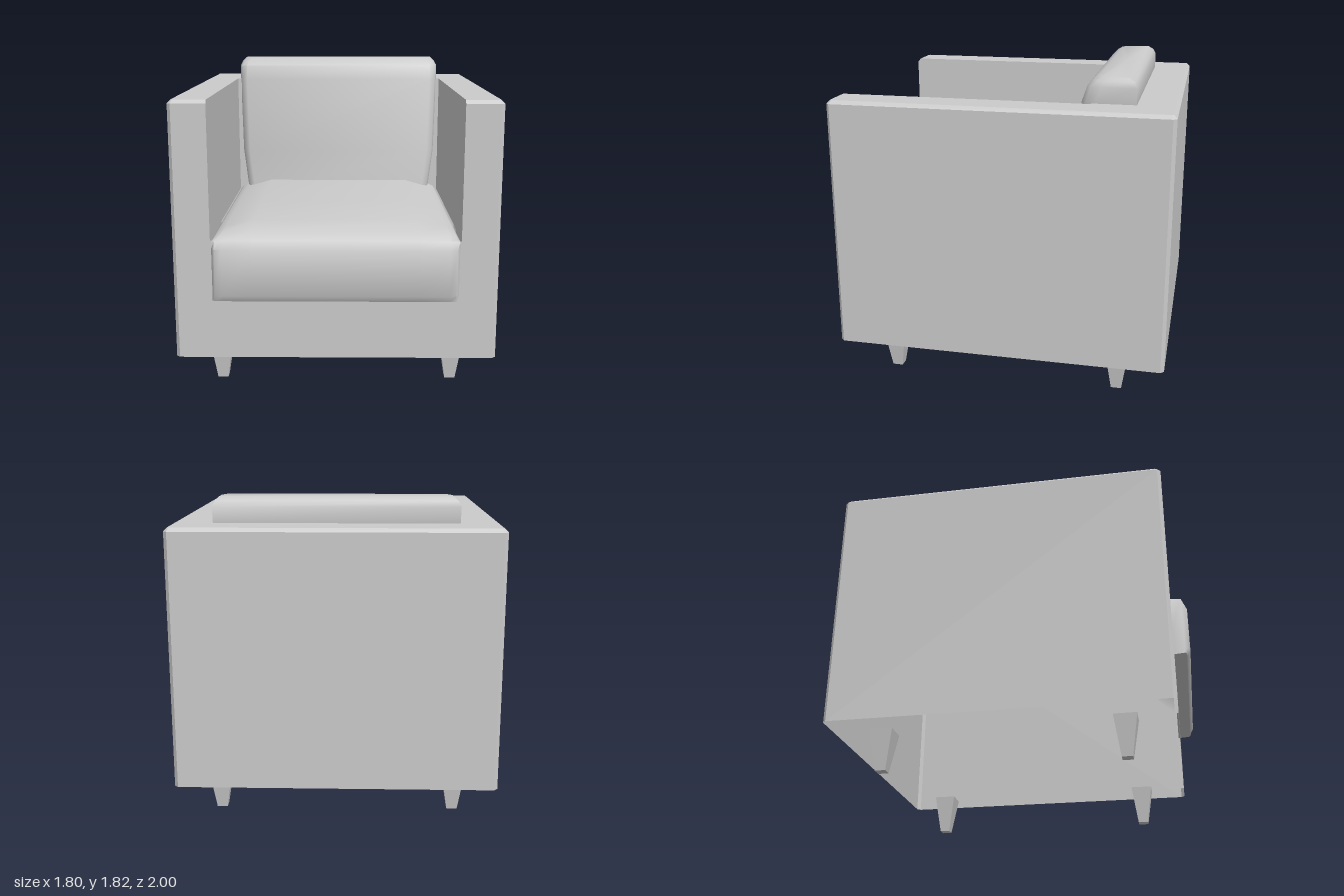
import * as THREE from 'three';
import { toCreasedNormals } from 'three/addons/utils/BufferGeometryUtils.js';

const material = new THREE.MeshStandardMaterial({ color: 0xcccccc, side: THREE.DoubleSide });

function add(group, name, geometry) {
  const mesh = new THREE.Mesh(geometry, material);
  mesh.name = name;
  group.add(mesh);
  return mesh;
}

// Skin over rows of [x, y, z] points; crease is the angle kept sharp
function skin(rows, crease, closed = false) {
  const n = rows[0].length;
  const index = [];
  for (let i = 0; i < rows.length - 1; i++) {
    for (let j = 0; j < (closed ? n : n - 1); j++) {
      const a = i * n + j, b = i * n + (j + 1) % n;
      index.push(a, b, b + n, a, b + n, a + n);
    }
  }
  const geometry = new THREE.BufferGeometry();
  geometry.setAttribute('position', new THREE.Float32BufferAttribute(rows.flat(2), 3));
  geometry.setIndex(index);
  return toCreasedNormals(geometry, crease);
}

// Half an outline in [x, z], mirrored to the other side at height y
function outline(half, y) {
  const left = half.map(([x, z]) => [x, y, z]);
  const right = half.map(([x, z]) => [-x, y, z]).reverse();
  return [...left, ...right];
}

// Hollow U-shaped shell: bevelled outside, flat rim, inner arm and back walls
function bodyShell() {
  const outer = [[0.69, 0.89], [0.69, 0.91], [0.88, 0.91], [0.9, 0.89], [0.9, -0.98], [0.88, -1]];
  const rim = [[0.69, 0.89], [0.69, 0.89], [0.87, 0.89], [0.88, 0.88], [0.88, -0.97], [0.87, -0.98]];
  const inner = [[0.69, 0.89], [0.69, 0.89], [0.69, 0.89], [0.69, 0.89], [0.69, -0.53], [0.69, -0.53]];
  return skin([
    outline(outer, 0.23), outline(outer, 1.66), outline(rim, 1.68),
    outline(inner, 1.68), outline(inner, 0.91),
  ], 0.1);
}

// Front panel with a notch for the seat cushion
function frontPanel() {
  const pts = [[-0.69, 0.23], [0.69, 0.23], [0.69, 0.91], [0.675, 0.91],
    [0.675, 0.58], [-0.675, 0.58], [-0.675, 0.91], [-0.69, 0.91]];
  return new THREE.ShapeGeometry(new THREE.Shape(pts.map(p => new THREE.Vector2(...p))))
    .translate(0, 0, 0.91);
}

// Seat: crowned top rolling over a front lip, open underneath
function seatCushion() {
  const profile = [[-0.5, 1], [0.3, 1], [0.75, 0.99], [0.91, 0.96], [0.97, 0.925],
    [1, 0.88], [1, 0.62], [0.98, 0.585], [0.9, 0.58]];
  // [x, highest y, furthest z]
  const half = [[0.675, 0.92, 0.97], [0.66, 0.935, 0.99], [0.62, 0.955, 1], [0.46, 1, 1]];
  const columns = [...half, ...half.map(([x, y, z]) => [-x, y, z]).reverse()];
  return skin(profile.map(([z, y]) => {
    const row = columns.map(([x, top, front]) => [x, Math.min(y, top), Math.min(z, front)]);
    // End column closes the sides of the lip
    const end = z < 0.9 ? [0.9, z] : [0.75, 0.91];
    return [[0.677, ...end], ...row, [-0.677, ...end]];
  }), 0.8);
}

// Back cushion: leaning sections that widen upwards, [y, half width, front z, back z]
function backCushion() {
  const sections = [[0.9, 0.615, -0.36, -0.6], [1.2, 0.655, -0.4, -0.68], [1.68, 0.672, -0.47, -0.775],
    [1.77, 0.675, -0.5, -0.775], [1.8, 0.66, -0.53, -0.76], [1.82, 0.64, -0.56, -0.73]];
  const rows = sections.map(([y, w, f, b]) => outline(
    [[w - 0.05, f], [w - 0.015, f - 0.025], [w, f - 0.08], [w, b]], y));
  rows.push(rows[0].map(() => [0, 1.82, -0.65]));
  return skin(rows, 0.75, true);
}

export function createModel() {
  const chair = new THREE.Group();
  chair.name = 'armchair';
  add(chair, 'bodyShell', bodyShell());
  add(chair, 'frontPanel', frontPanel());
  add(chair, 'seatCushion', seatCushion());
  add(chair, 'backCushion', backCushion());

  // Square tapered legs
  const leg = toCreasedNormals(
    new THREE.CylinderGeometry(0.065 * Math.SQRT2, 0.03 * Math.SQRT2, 0.23, 4).rotateY(Math.PI / 4), 0.1);
  for (const x of [-0.675, 0.675]) {
    for (const z of [-0.72, 0.63]) {
      add(chair, z > 0 ? 'frontLeg' : 'backLeg', leg).position.set(x, 0.115, z);
    }
  }
  return chair;
}
